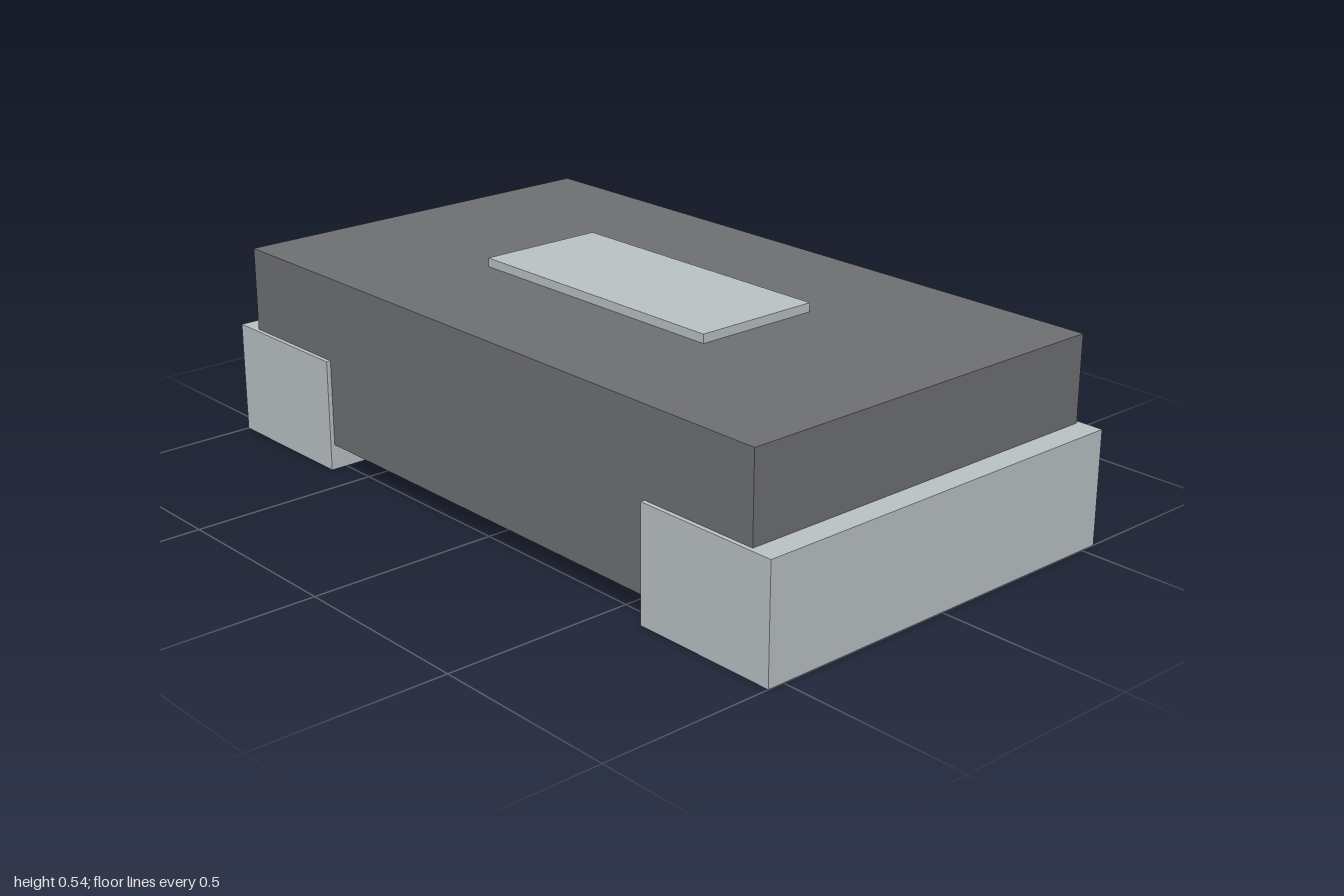
import * as THREE from 'three';

export function createModel() {
  const group = new THREE.Group();
  const darkGrey = new THREE.MeshStandardMaterial({ color: 0x707173 });
  darkGrey.name = 'darkGrey';
  const paleMetal = new THREE.MeshStandardMaterial({ color: 0xbdc4c7 });
  paleMetal.name = 'paleMetal';

  // Box centred on z, standing between two heights
  function addBox(name, material, x, width, bottom, top, depth) {
    const mesh = new THREE.Mesh(new THREE.BoxGeometry(width, top - bottom, depth), material);
    mesh.name = name;
    mesh.position.set(x, (bottom + top) / 2, 0);
    group.add(mesh);
  }

  // Main block and the raised plate on top
  addBox('body', darkGrey, 0, 1.87, 0.067, 0.52, 1.067);
  addBox('topPlate', paleMetal, 0, 0.8, 0.52, 0.543, 0.348);

  // Metal end caps wrapped around the lower ends
  for (const [name, side] of [['leftTerminal', 1], ['rightTerminal', -1]]) {
    addBox(name, paleMetal, side * 0.8, 0.4, 0, 0.297, 1.09);
  }

  return group;
}
